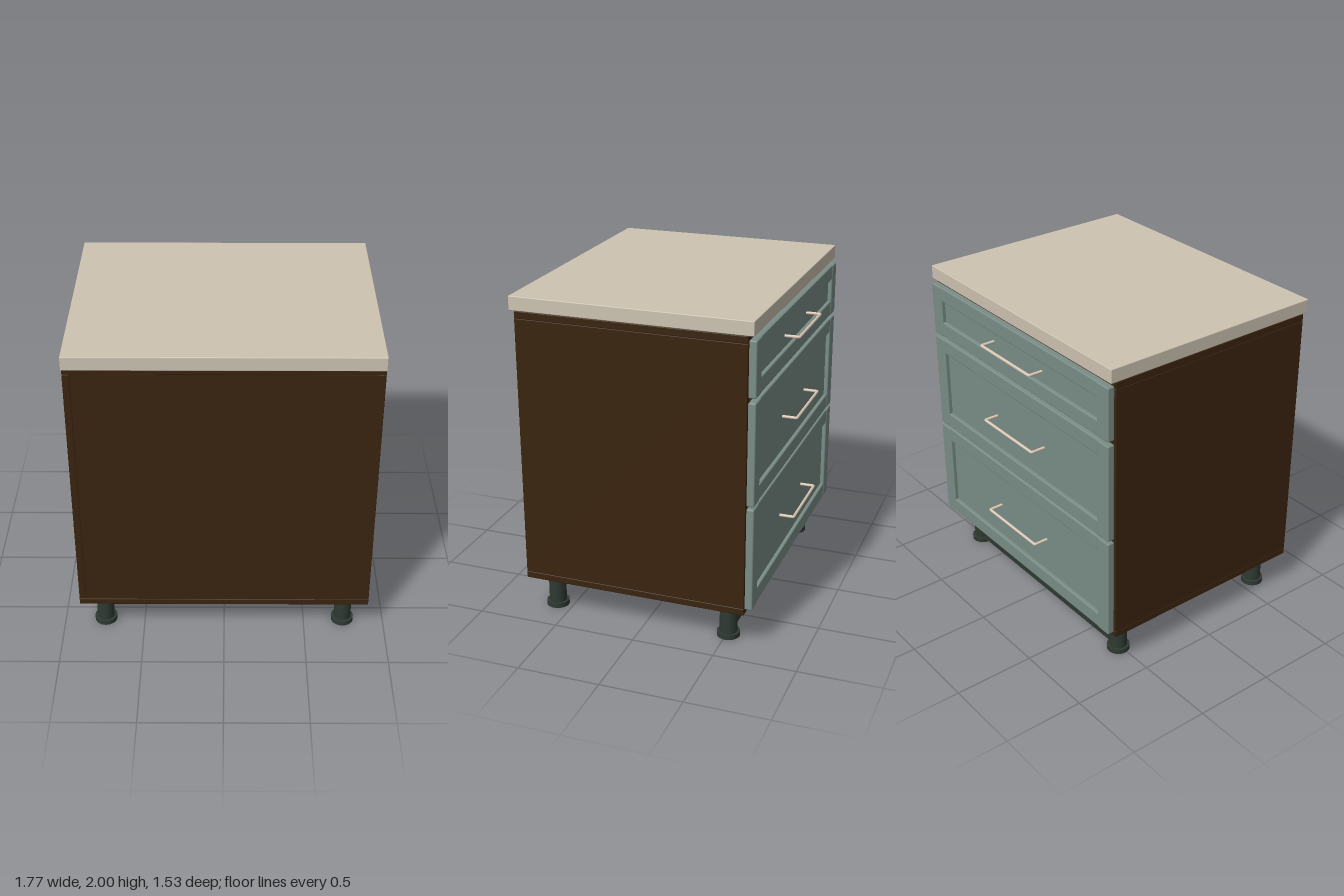
import * as THREE from 'three';
import { RoundedBoxGeometry } from 'three/addons/geometries/RoundedBoxGeometry.js';

function material(name, color) {
  const m = new THREE.MeshStandardMaterial({ color });
  m.name = name;
  return m;
}

export function createModel() {
  const model = new THREE.Group();
  model.name = 'drawerCabinet';
  const wood = material('darkBrownWood', 0x3a240f);
  const paint = material('greyGreenPaint', 0x7a8d86);
  const stone = material('beigeWorktop', 0xcdc3b1);
  const plastic = material('darkPlastic', 0x2f3932);
  const metal = material('paleMetal', 0xdccab8);

  // Box given by its limits, with optional rounded edges
  function box(parent, name, mat, [x0, x1], [y0, y1], [z0, z1], r = 0) {
    const size = [x1 - x0, y1 - y0, z1 - z0];
    const geo = r ? new RoundedBoxGeometry(...size, 2, r) : new THREE.BoxGeometry(...size);
    const mesh = new THREE.Mesh(geo, mat);
    mesh.position.set((x0 + x1) / 2, (y0 + y1) / 2, (z0 + z1) / 2);
    mesh.name = name;
    parent.add(mesh);
    return mesh;
  }

  // Worktop and hollow carcass
  const depth = [-0.647, 0.733];
  box(model, 'worktop', stone, [-0.887, 0.887], [1.915, 2], [-0.68, 0.765], 0.005);
  box(model, 'topPanel', wood, [-0.887, 0.887], [1.871, 1.915], depth, 0.005);
  box(model, 'bottomPanel', wood, [-0.887, 0.887], [0.228, 0.27], depth, 0.005);
  box(model, 'leftPanel', wood, [0.845, 0.887], [0.27, 1.871], depth, 0.004);
  box(model, 'rightPanel', wood, [-0.887, -0.845], [0.27, 1.871], depth, 0.004);
  box(model, 'plainPanel', wood, [-0.845, 0.845], [0.27, 1.871], [0.69, 0.731]);

  // Bow handle: straight bar with two short posts
  function handle(y) {
    const group = new THREE.Group();
    group.name = 'handle';
    const path = new THREE.CurvePath();
    const p = [[-0.242, -0.66], [-0.242, -0.748], [-0.234, -0.756],
      [0.234, -0.756], [0.242, -0.748], [0.242, -0.66]]
      .map(([x, z]) => new THREE.Vector3(x, y, z));
    const corner = s => new THREE.Vector3(s * 0.242, y, -0.756);
    path.add(new THREE.LineCurve3(p[0], p[1]));
    path.add(new THREE.QuadraticBezierCurve3(p[1], corner(-1), p[2]));
    path.add(new THREE.LineCurve3(p[2], p[3]));
    path.add(new THREE.QuadraticBezierCurve3(p[3], corner(1), p[4]));
    path.add(new THREE.LineCurve3(p[4], p[5]));
    const bar = new THREE.Mesh(new THREE.TubeGeometry(path, 180, 0.009, 10), metal);
    bar.name = 'handleBar';
    group.add(bar);
    return group;
  }

  // Framed drawer fronts with a recessed panel
  const drawers = [[0.263, 0.902, 0.583], [0.917, 1.537, 1.228], [1.561, 1.891, 1.727]];
  const stile = 0.1, rail = 0.095;
  for (const [y0, y1, handleY] of drawers) {
    const front = new THREE.Group();
    front.name = 'drawerFront';
    const inner = 0.877 - stile;
    for (const s of [-1, 1]) {
      const xs = s > 0 ? [inner, 0.877] : [-0.877, -inner];
      box(front, 'stile', paint, xs, [y0, y1], [-0.694, -0.647], 0.009);
    }
    box(front, 'lowerRail', paint, [-inner - 0.01, inner + 0.01], [y0, y0 + rail], [-0.69, -0.647], 0.008);
    box(front, 'upperRail', paint, [-inner - 0.01, inner + 0.01], [y1 - rail, y1], [-0.69, -0.647], 0.008);
    box(front, 'panel', paint, [-inner - 0.01, inner + 0.01], [y0 + rail - 0.01, y1 - rail + 0.01], [-0.668, -0.65]);
    front.add(handle(handleY));
    model.add(front);
  }

  // Round legs with wider feet
  function cylinder(parent, name, r, y0, y1) {
    const mesh = new THREE.Mesh(new THREE.CylinderGeometry(r, r, y1 - y0, 32), plastic);
    mesh.position.y = (y0 + y1) / 2;
    mesh.name = name;
    parent.add(mesh);
  }
  for (const x of [-0.745, 0.745]) {
    for (const z of [-0.512, 0.6]) {
      const leg = new THREE.Group();
      leg.name = 'leg';
      cylinder(leg, 'legPost', 0.053, 0.028, 0.23);
      cylinder(leg, 'legFoot', 0.069, 0, 0.03);
      leg.position.set(x, 0, z);
      model.add(leg);
    }
  }

  // Plinth board between the legs on the drawer side
  box(model, 'plinthBoard', plastic, [-0.745, 0.745], [0.02, 0.21], [-0.53, -0.5]);
  return model;
}
